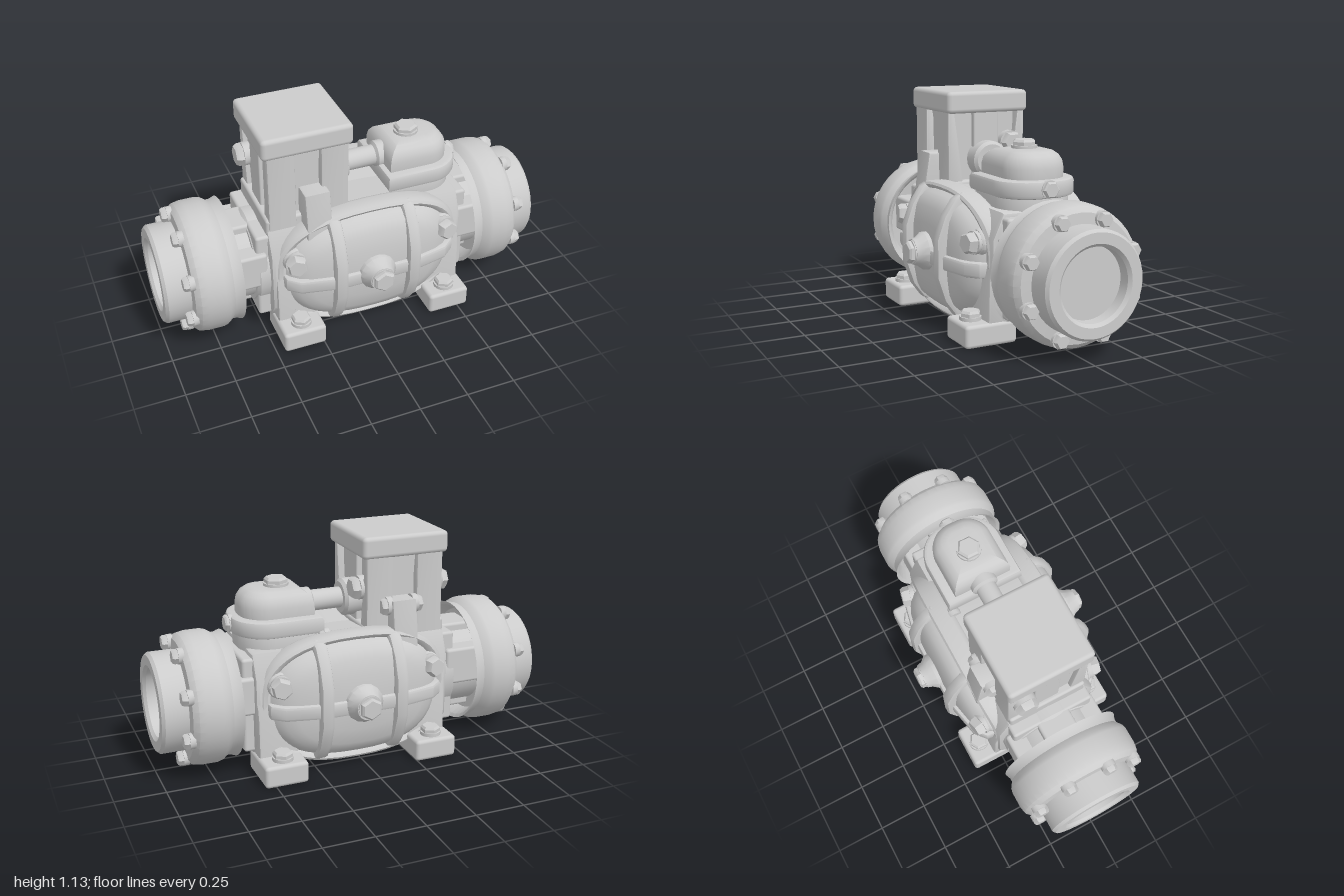
import * as THREE from 'three';
import { toCreasedNormals } from 'three/addons/utils/BufferGeometryUtils.js';
import { RoundedBoxGeometry } from 'three/addons/geometries/RoundedBoxGeometry.js';

const AXIS_Y = 0.36, COVER_X = 0.04;
const mat = new THREE.MeshStandardMaterial({ color: 0xcccccc });
const UP = new THREE.Vector3(0, 1, 0);

function add(parent, name, geo, x = 0, y = 0, z = 0) {
  const mesh = new THREE.Mesh(geo, mat);
  mesh.name = name;
  mesh.position.set(x, y, z);
  parent.add(mesh);
}

// Rounded box given by its limits on each axis
function block(parent, name, [x0, x1], [y0, y1], [z0, z1], r = 0.015) {
  const geo = new RoundedBoxGeometry(x1 - x0, y1 - y0, z1 - z0, 2, r);
  add(parent, name, geo, (x0 + x1) / 2, (y0 + y1) / 2, (z0 + z1) / 2);
}

// Turned part standing on y = 0, from [radius, height] pairs
function turned(points, sides = 32) {
  const geo = new THREE.LatheGeometry(points.map(p => new THREE.Vector2(...p)), sides);
  return toCreasedNormals(geo, 0.6);
}

// Chamfered hex head on a short round collar, pointing along dir
function bolt(parent, name, r, h, pos, dir) {
  const g = new THREE.Group();
  g.name = name;
  g.position.set(...pos);
  g.quaternion.setFromUnitVectors(UP, new THREE.Vector3(...dir).normalize());
  add(g, 'collar', turned([[0, 0], [r * 1.05, 0], [r * 1.05, h * 0.5], [0, h * 0.5]], 16));
  add(g, 'hexHead', turned([[0, 0], [r, 0], [r, h * 0.8], [r * 0.82, h], [0, h]], 6));
  parent.add(g);
}

function extrude(shape, depth, bevel, segments = 2) {
  const geo = new THREE.ExtrudeGeometry(shape, {
    depth: depth - 2 * bevel, bevelSize: bevel, bevelThickness: bevel,
    bevelOffset: -bevel, bevelSegments: segments, curveSegments: 12,
  });
  return geo.translate(0, 0, bevel - depth / 2);
}

const polygon = pts => new THREE.Shape(pts.map(p => new THREE.Vector2(...p)));

// Extrude a [z, y] outline along x; side -1 turns it to the back
const alongX = (pts, width, bevel, side = 1) =>
  toCreasedNormals(extrude(polygon(pts), width, bevel).rotateY(-side * Math.PI / 2), 0.6);

// Oval shell through [scale, z] rings, swept back at its two ends
function ovalDome(rings, rx, ry, n = 48) {
  const pos = [], idx = [], e = 2 / 2.5;
  const pow = v => Math.sign(v) * Math.abs(v) ** e;
  for (const [s, z] of rings)
    for (let i = 0; i < n; i++) {
      const a = i / n * Math.PI * 2, u = s * pow(Math.cos(a));
      pos.push(rx * u, s * ry * pow(Math.sin(a)), z - (z > 0 ? 0.035 * u ** 4 : 0));
    }
  for (let k = 0; k < rings.length - 1; k++)
    for (let i = 0; i < n; i++) {
      const a = k * n + i, b = k * n + (i + 1) % n;
      idx.push(a, b, b + n, a, b + n, a + n);
    }
  const geo = new THREE.BufferGeometry();
  geo.setAttribute('position', new THREE.Float32BufferAttribute(pos, 3));
  geo.setIndex(idx);
  return toCreasedNormals(geo, 0.65);
}

// Pipe end with cupped flange, recessed mouth and a bolt circle, facing +x
function pipeEnd(name) {
  const g = new THREE.Group();
  g.name = name;
  g.position.y = AXIS_Y;
  add(g, 'flange', turned([
    [0.18, 0.7], [0.27, 0.69], [0.3, 0.63], [0.318, 0.62], [0.308, 0.645], [0.307, 0.67], [0.328, 0.7],
    [0.333, 0.72], [0.333, 0.8], [0.325, 0.84], [0.3, 0.865], [0.25, 0.87], [0.25, 0.985], [0.237, 1],
    [0.187, 1], [0.172, 0.985], [0.17, 0.93], [0, 0.93],
  ], 40).rotateZ(-Math.PI / 2));
  add(g, 'neck', turned([[0.215, 0.48], [0.215, 0.74]]).rotateZ(-Math.PI / 2));
  add(g, 'neckCollar', turned([[0, 0.42], [0.25, 0.42], [0.25, 0.52], [0.235, 0.535], [0, 0.535]])
    .rotateZ(-Math.PI / 2));
  block(g, 'neckSideRib', [0.48, 0.7], [-0.04, 0.15], [-0.245, 0.245]);
  block(g, 'neckTopRib', [0.48, 0.7], [-0.235, 0.235], [-0.09, 0.09]);
  for (let i = 0; i < 8; i++) {
    const a = (i + 0.5) * Math.PI / 4;
    bolt(g, 'flangeBolt', 0.037, 0.055, [0.855, 0.285 * Math.sin(a), 0.285 * Math.cos(a)], [1, 0, 0]);
  }
  return g;
}

// Bulged side cover with rim, ribs, hub and corner bolts, facing +z
function sideCover(name) {
  const g = new THREE.Group();
  g.name = name;
  g.position.set(COVER_X, AXIS_Y, 0);
  add(g, 'coverShell', ovalDome([
    [0.9, 0], [0.95, 0.19], [0.985, 0.2], [1, 0.215], [1, 0.275], [0.985, 0.295], [0.95, 0.303],
    [0.91, 0.295], [0.89, 0.285], [0.85, 0.312], [0.78, 0.34], [0.66, 0.361], [0.42, 0.379], [0, 0.384],
  ], 0.5, 0.33));
  const ribProfile = [[0.2, -0.3], [0.28, -0.31], [0.325, -0.285], [0.38, -0.21], [0.42, -0.09],
    [0.42, 0.1], [0.38, 0.21], [0.325, 0.29], [0.28, 0.315], [0.2, 0.305]];
  for (const s of [-1, 1]) {
    add(g, 'verticalRib', alongX(ribProfile, 0.066, 0.018), s * 0.195);
    add(g, 'boltBoss', turned([[0.066, 0], [0.066, 0.085], [0.06, 0.095], [0, 0.095]], 16)
      .rotateX(Math.PI / 2), s * 0.39, 0.11, 0.2);
    bolt(g, 'coverBolt', 0.053, 0.085, [s * 0.39, 0.11, 0.28], [s * 0.2, 0.05, 1]);
  }
  const bar = polygon([[-0.46, 0.2], [0.46, 0.2], [0.45, 0.31], [0.39, 0.36],
    [0.2, 0.4], [-0.2, 0.4], [-0.39, 0.36], [-0.45, 0.31]]);
  add(g, 'horizontalRib', toCreasedNormals(extrude(bar, 0.075, 0.014).rotateX(Math.PI / 2), 0.6), 0, -0.015);
  add(g, 'hub', turned([[0.1, 0.35], [0.095, 0.4], [0.072, 0.43], [0.064, 0.455], [0, 0.455]], 16)
    .rotateX(Math.PI / 2));
  bolt(g, 'hubBolt', 0.057, 0.05, [0, 0, 0.437], [0, 0, 1]);
  return g;
}

// Plan outline square at low x and round at high x
function roundNosed(x0, x1, half) {
  const s = new THREE.Shape(), r = half * 0.85, f = half - r;
  s.moveTo(x0, -half);
  s.lineTo(x1 - r, -half);
  s.absarc(x1 - r, -f, r, -Math.PI / 2, 0, false);
  s.absarc(x1 - r, f, r, 0, Math.PI / 2, false);
  s.lineTo(x0, half);
  return s;
}

function slab(parent, name, outline, y0, y1, bevel, segments) {
  const geo = extrude(outline, y1 - y0, bevel, segments).rotateX(-Math.PI / 2);
  add(parent, name, toCreasedNormals(geo, 0.6), 0, (y0 + y1) / 2, 0);
}

function tower() {
  const g = new THREE.Group();
  g.name = 'tower';
  block(g, 'towerCore', [-0.43, -0.08], [0.56, 1.05], [-0.175, 0.175]);
  block(g, 'towerBase', [-0.47, -0.04], [0.54, 0.68], [-0.21, 0.21]);
  block(g, 'towerCap', [-0.48, -0.022], [1.022, 1.132], [-0.225, 0.225], 0.022);
  const column = [[0.215, 0.6], [0.215, 1.04], [0.18, 1.04], [0.13, 0.66], [0.13, 0.6]];
  const bracket = [[0.12, 0.56], [0.3, 0.56], [0.295, 0.65], [0.268, 0.815], [0.12, 0.815]];
  for (const s of [-1, 1]) {
    // Corner columns, wider at the foot
    for (const x of [-0.385, -0.115])
      add(g, 'cornerColumn', alongX(column, 0.14, 0.01, s), x);
    // End faces with a raised panel and a plug
    const x = -0.25 + s * 0.18;
    block(g, 'endPanel', [x - 0.02, x + 0.02], [0.6, 1.04], [-0.07, 0.07], 0.008);
    bolt(g, 'towerBolt', 0.057, 0.075, [-0.25 + s * 0.185, 0.865, -0.13], [s, 0, 0]);
    // Brackets between tower and side covers
    add(g, 'sideBracket', alongX(bracket, 0.13, 0.012, s), -0.225);
    bolt(g, 'bracketBolt', 0.045, 0.055, [-0.225 + s * 0.055, 0.78, -0.215], [s, 0, 0]);
  }
  return g;
}

function valveHousing() {
  const g = new THREE.Group();
  g.name = 'valveHousing';
  slab(g, 'housingNeck', roundNosed(0.2, 0.565, 0.185), 0.55, 0.7, 0.012);
  slab(g, 'housingFlange', roundNosed(0.175, 0.595, 0.205), 0.675, 0.76, 0.018);
  slab(g, 'housingDome', roundNosed(0.205, 0.55, 0.155), 0.67, 0.887, 0.08, 4);
  bolt(g, 'topPlug', 0.06, 0.055, [0.35, 0.873, 0], [0, 1, 0]);
  bolt(g, 'endPlug', 0.042, 0.04, [0.58, 0.72, 0], [1, 0, 0]);
  // Link pipe from the tower
  add(g, 'linkPipe', turned([[0, -0.08], [0.095, -0.08], [0.095, 0], [0.08, 0.015], [0.053, 0.015],
    [0.053, 0.17], [0.07, 0.18], [0.07, 0.23]], 24).rotateZ(-Math.PI / 2), 0, 0.785, 0);
  return g;
}

export function createModel() {
  const model = new THREE.Group();
  model.name = 'pump';

  // Main casing with chamfered section
  const section = [[-0.2, 0.08], [0.2, 0.08], [0.27, 0.18], [0.27, 0.5], [0.215, 0.62],
    [-0.215, 0.62], [-0.27, 0.5], [-0.27, 0.18]];
  add(model, 'casing', alongX(section, 1.02, 0.02), COVER_X);
  for (const ends of [[0.5, 0.6], [-0.53, -0.42]])
    block(model, 'casingEnd', ends, [0.12, 0.6], [-0.22, 0.22]);

  // Pipe ends and covers, each repeated by a half turn
  const left = pipeEnd('leftPipeEnd'), right = pipeEnd('rightPipeEnd');
  right.rotation.y = Math.PI;
  const front = sideCover('frontCover'), back = sideCover('backCover');
  back.rotation.y = Math.PI;
  model.add(left, right, front, back);

  // Feet with tapered legs
  const leg = [[0.1, 0.08], [0.29, 0.08], [0.285, 0.3], [0.24, 0.52], [0.1, 0.52]];
  for (const s of [-1, 1])
    for (const x of [-0.35, 0.445]) {
      block(model, 'foot', [x - 0.11, x + 0.11], [0, 0.11], s > 0 ? [0.145, 0.41] : [-0.41, -0.145], 0.018);
      add(model, 'leg', alongX(leg, 0.2, 0.012, s), x);
      bolt(model, 'footBolt', 0.05, 0.055, [x, 0.1, s * 0.335], [0, 1, 0]);
    }

  model.add(tower(), valveHousing());
  bolt(model, 'casingBolt', 0.035, 0.05, [0.15, 0.66, -0.19], [1, 0, 0]);
  return model;
}
